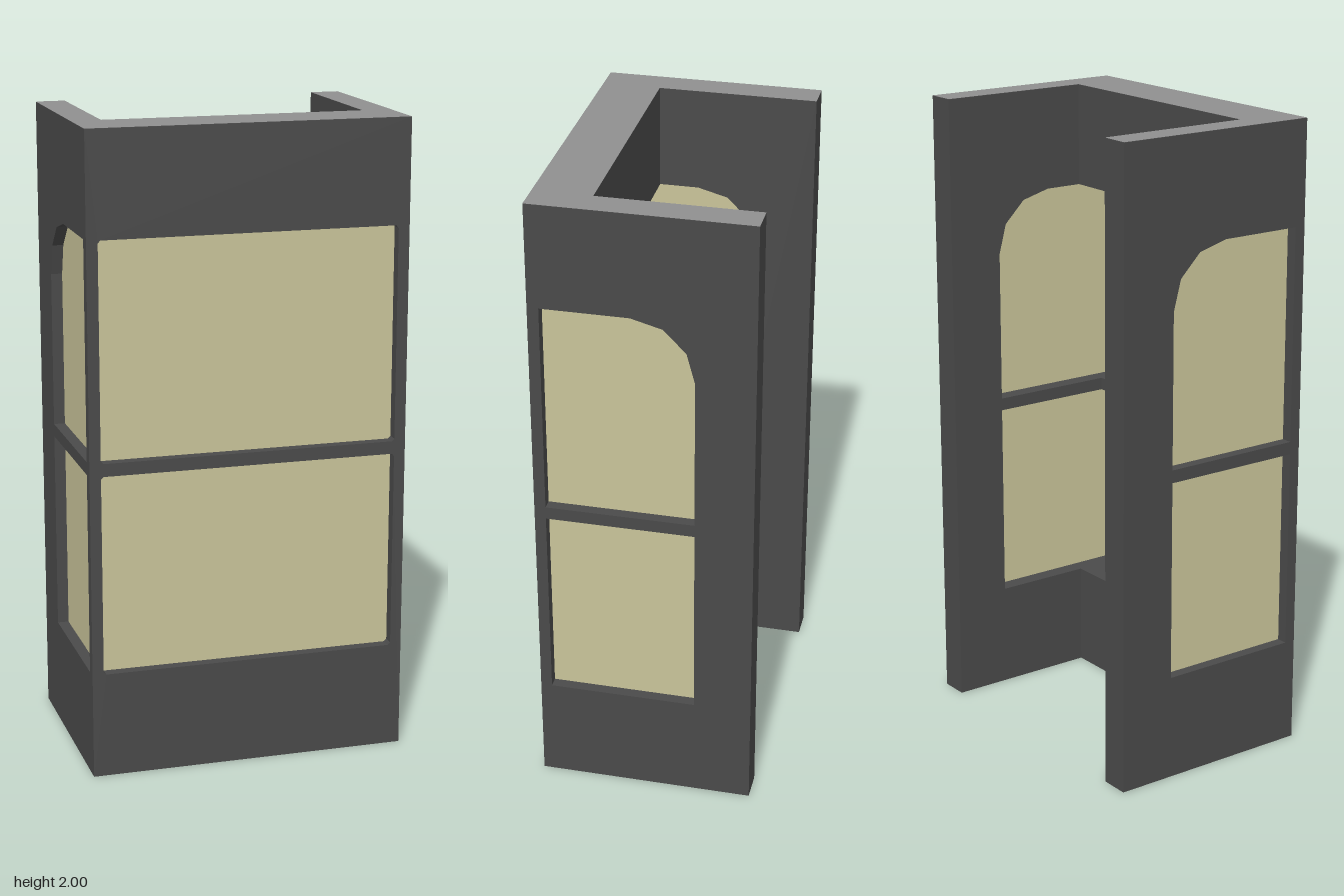
import * as THREE from 'three';

export function createModel() {
  const group = new THREE.Group();
  const mat = (name, color) => {
    const m = new THREE.MeshStandardMaterial({ color });
    m.name = name;
    return m;
  };
  const frame = mat('dark grey frame', 0x4a4a4a);
  const cap = mat('light grey top', 0x909090);
  const glass = mat('cream glass', 0xc9c49a);

  const W = 0.5, D = 0.337, H = 1.999;       // half width, half depth, wall height
  const inX = 0.408, inZ = 0.157;            // inner faces of the thick walls
  const paneX = 0.465, paneZ = 0.302;        // recessed glass planes
  const sill = 0.332, barLow = 0.96, barTop = 1.0, head = 1.674;
  const backZ = -0.157, arch = 0.19;         // rear edge of the side windows

  const add = (name, geo, material) => {
    const mesh = new THREE.Mesh(geo, material);
    mesh.name = name;
    group.add(mesh);
    return mesh;
  };
  // Box given by its minimum and maximum corners
  const box = (name, material, x0, x1, y0, y1, z0, z1) => {
    const geo = new THREE.BoxGeometry(x1 - x0, y1 - y0, z1 - z0);
    geo.translate((x0 + x1) / 2, (y0 + y1) / 2, (z0 + z1) / 2);
    return add(name, geo, material);
  };
  const poly = (pts) => pts.map(([x, y]) => new THREE.Vector2(x, y));

  // Front shell with two slightly chamfered window holes
  const front = new THREE.Shape(poly([[-W, 0], [W, 0], [W, H], [-W, H]]));
  for (const [y0, y1] of [[sill, barLow], [barTop, head]]) {
    const c = 0.008, x = paneX;
    front.holes.push(new THREE.Path(poly([
      [-x + c, y0], [-x, y0 + c], [-x, y1 - c], [-x + c, y1],
      [x - c, y1], [x, y1 - c], [x, y0 + c], [x - c, y0],
    ])));
  }
  const frontGeo = new THREE.ExtrudeGeometry(front, { depth: D - paneZ, bevelEnabled: false });
  frontGeo.translate(0, 0, paneZ);
  add('frontShell', frontGeo, frame);

  // Side wall profile (z, y), notched by the windows, with an arched upper rear corner
  const archPts = [];
  for (let i = 0; i <= 3; i++) {
    const a = (i / 3) * Math.PI / 2;
    archPts.push([backZ + arch - arch * Math.cos(a), head - arch + arch * Math.sin(a)]);
  }
  const side = new THREE.Shape(poly([
    [-D, 0], [paneZ, 0], [paneZ, sill], [backZ, sill], [backZ, barLow],
    [paneZ, barLow], [paneZ, barTop], [backZ, barTop],
    ...archPts, [paneZ, head], [paneZ, H], [-D, H],
  ]));
  for (const s of [1, -1]) {
    const label = s > 0 ? 'left' : 'right';
    const geo = new THREE.ExtrudeGeometry(side, { depth: W - inX, bevelEnabled: false });
    geo.rotateY(-Math.PI / 2);
    geo.translate(s > 0 ? W : -inX, 0, 0);
    add(label + 'Wall', geo, frame);

    // Side glass, its edges buried in the wall
    const xs = [s * paneX, s * (paneX - 0.005)].sort((a, b) => a - b);
    box(label + 'Glass', glass, xs[0], xs[1], sill - 0.02, head + 0.02, backZ - 0.02, paneZ - 0.003);
  }

  // Thick front wall below and above the windows, and the crossbar between them
  box('frontBase', frame, -inX, inX, 0, sill, inZ, paneZ);
  box('frontHeader', frame, -inX, inX, head, H, inZ, paneZ);
  box('frontCrossbar', frame, -inX, inX, barLow, barTop, D - 0.09, paneZ);
  box('frontGlass', glass, -paneX, paneX, sill - 0.02, head + 0.02, paneZ - 0.005, paneZ);

  // Cream strip under the inner half of the right crossbar
  box('crossbarStrip', glass, -paneX + 0.005, -inX, barLow - 0.002, barLow, backZ, D - 0.09);

  // Light U-shaped top surface
  const top = new THREE.ShapeGeometry(new THREE.Shape(poly([
    [-W, -D], [W, -D], [W, D], [inX, D], [inX, -inZ], [-inX, -inZ], [-inX, D], [-W, D],
  ])));
  top.rotateX(-Math.PI / 2);
  top.translate(0, 2, 0);
  add('topSurface', top, cap);

  return group;
}
